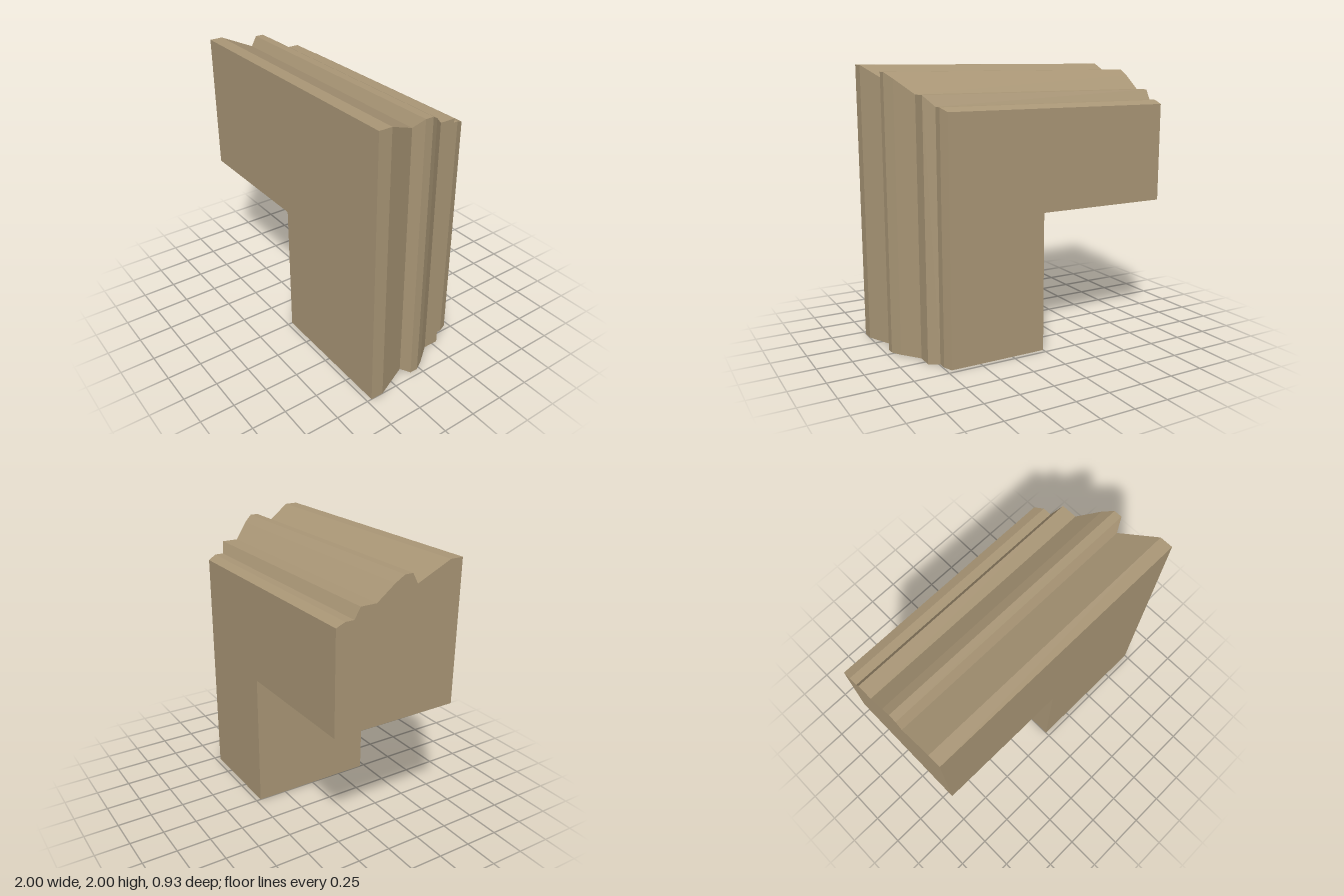
import * as THREE from 'three';

// Moulding cross-section: [z, distance from the inner edge], counter-clockwise
const profile = [
  [0.465, 0], [0.465, 1], [0.37, 1], [0.12, 0.885], [0.08, 0.957], [0.02, 0.957],
  [-0.05, 0.915], [-0.18, 0.815], [-0.295, 0.815], [-0.337, 0.742], [-0.4, 0.742],
  [-0.465, 0.715], [-0.465, 0],
].map(([z, d]) => new THREE.Vector2(z, d));

// Stations along the L: left end, mitred corner, bottom end
const stations = [
  (p) => [-1, 1 + p.y, p.x],
  (p) => [p.y, 1 + p.y, p.x],
  (p) => [p.y, 0, p.x],
];

function mitredSweep() {
  const positions = [];
  const triangle = (a, b, c) => positions.push(...a, ...b, ...c);

  // Long faces of both legs
  for (let s = 0; s < stations.length - 1; s++) {
    profile.forEach((p, i) => {
      const q = profile[(i + 1) % profile.length];
      const a = stations[s](p), b = stations[s](q);
      const c = stations[s + 1](q), d = stations[s + 1](p);
      triangle(a, d, c);
      triangle(a, c, b);
    });
  }

  // Flat end caps
  const [start, , end] = stations;
  for (const [i, j, k] of THREE.ShapeUtils.triangulateShape(profile, [])) {
    const [p, q, r] = [profile[i], profile[j], profile[k]];
    triangle(start(p), start(q), start(r));
    triangle(end(p), end(r), end(q));
  }

  const geometry = new THREE.BufferGeometry();
  geometry.setAttribute('position', new THREE.Float32BufferAttribute(positions, 3));
  geometry.computeVertexNormals();
  return geometry;
}

export function createModel() {
  const group = new THREE.Group();
  group.name = 'frameCornerSample';
  const wood = new THREE.MeshStandardMaterial({ color: 0xa89575, flatShading: true });
  const moulding = new THREE.Mesh(mitredSweep(), wood);
  moulding.name = 'mitredMoulding';
  group.add(moulding);
  return group;
}
